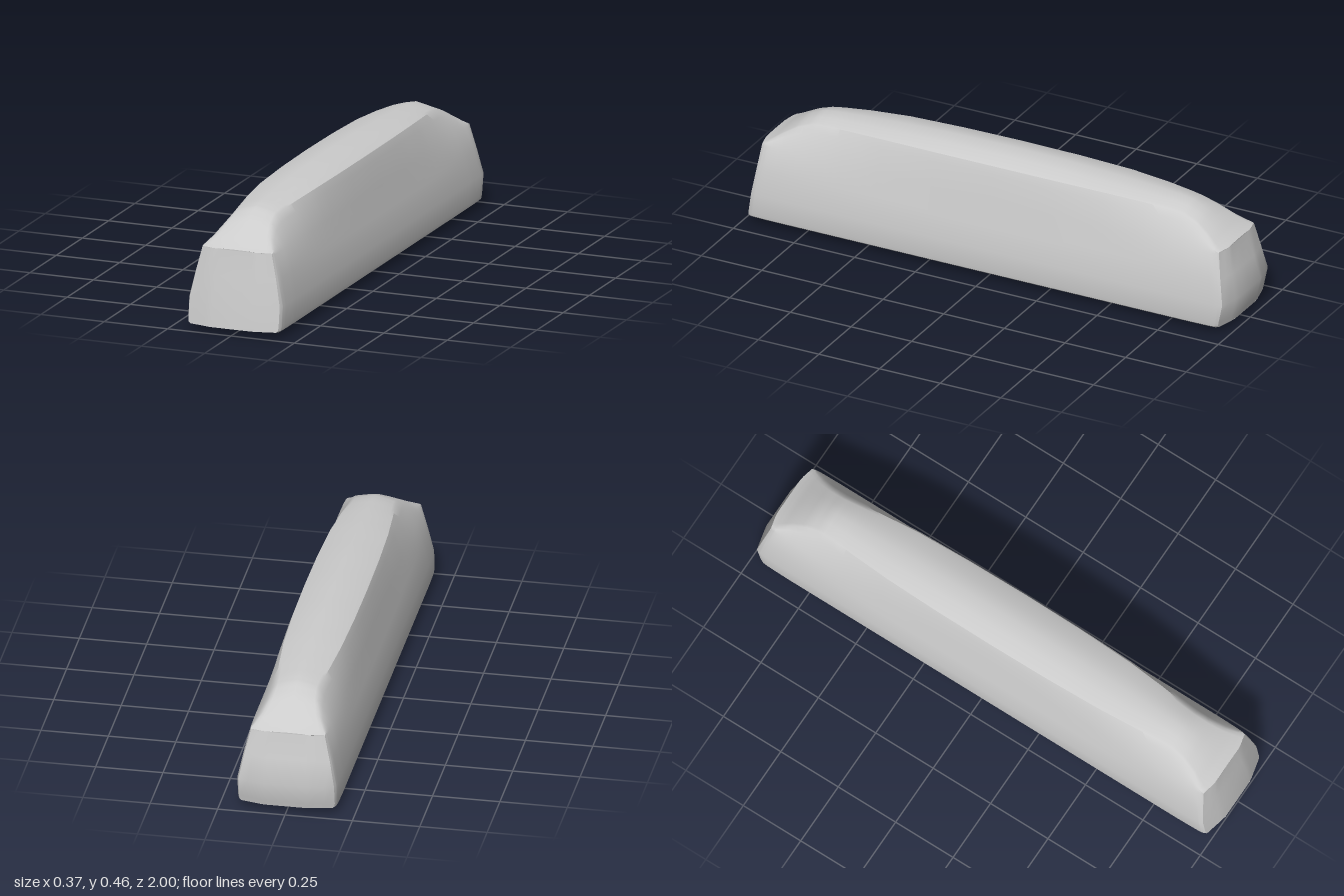
import * as THREE from 'three';
import { toCreasedNormals } from 'three/addons/utils/BufferGeometryUtils.js';

// Piecewise linear lookup through [key, value, ...] rows
function lookup(rows, t, column = 1) {
  if (t <= rows[0][0]) return rows[0][column];
  for (let i = 1; i < rows.length; i++) {
    if (t <= rows[i][0]) {
      const f = (t - rows[i - 1][0]) / (rows[i][0] - rows[i - 1][0]);
      return THREE.MathUtils.lerp(rows[i - 1][column], rows[i][column], f);
    }
  }
  return rows[rows.length - 1][column];
}

// Surface through a grid of points: rows of equal length
function gridGeometry(grid) {
  const cols = grid[0].length;
  const index = [];
  for (let i = 0; i < grid.length - 1; i++) {
    for (let j = 0; j < cols - 1; j++) {
      const a = i * cols + j, b = a + 1, c = b + cols, d = a + cols;
      index.push(a, b, c, a, c, d);
    }
  }
  const geometry = new THREE.BufferGeometry().setFromPoints(grid.flat());
  geometry.setIndex(index);
  return toCreasedNormals(geometry, 0.6);
}

// End rake: height, distance from the centre
const frontEnd = [[0.025, 1], [0.12, 0.987], [0.31, 0.953]];
const backEnd = [[0.025, 0.98], [0.12, 1], [0.31, 0.955]];

// Along the length: position, shoulder x, shoulder y, ridge y, underside lift, width scale
const stations = [
  [0, 0.116, 0.431, 0.464, 0, 1],
  [0.25, 0.114, 0.43, 0.461, 0, 1],
  [0.48, 0.107, 0.427, 0.452, 0, 1],
  [0.64, 0.095, 0.42, 0.443, 0.008, 1],
  [0.75, 0.084, 0.412, 0.435, 0.013, 1],
  [0.8, 0.081, 0.405, 0.427, 0.015, 1],
  [0.86, 0.087, 0.384, 0.401, 0.018, 1],
  [0.92, 0.104, 0.351, 0.363, 0.021, 0.995],
  [0.96, 0.122, 0.328, 0.336, 0.023, 0.99],
  [0.985, 0.134, 0.316, 0.322, 0.024, 0.98],
  [1, 0.139, 0.311, 0.314, 0.025, 0.95],
];

// Half cross-section from the keel up to the ridge
function halfProfile(u) {
  const [sx, sy, ridge, lift, scale] = [1, 2, 3, 4, 5].map((c) => lookup(stations, Math.abs(u), c));
  const points = [
    [0, 0], [0.105, 0.007], [0.178, 0.024], [0.185, 0.03], [0.187, 0.045], [0.187, 0.12],
    [0.167, 0.215], [0.145, 0.305],
    [sx * 0.75 + 0.145 * 0.25 + 0.004, sy * 0.75 + 0.305 * 0.25],
    [sx, sy], [sx * 0.88, sy + (ridge - sy) * 0.2], [sx * 0.5, sy + (ridge - sy) * 0.62], [0, ridge],
  ];
  return points.map(([x, y]) => [x * scale, Math.max(y, lift)]);
}

// Place a profile point, with the ends bowed outward at the middle
function place(x, y, u) {
  const end = lookup(u < 0 ? backEnd : frontEnd, y);
  const bow = 0.022 * Math.abs(u) ** 12 * Math.max(0, Math.abs(x) / 0.187 - 0.45) * 2;
  return new THREE.Vector3(x, y, u * end - Math.sign(u) * bow);
}

export function createModel() {
  const group = new THREE.Group();
  const material = new THREE.MeshStandardMaterial({ color: 0xcccccc });
  const add = (name, geometry) => {
    const mesh = new THREE.Mesh(geometry, material);
    mesh.name = name;
    group.add(mesh);
  };

  // Long shell: full rings lofted from back to front
  const half = stations.map((s) => s[0]);
  const positions = [];
  for (let i = 0; i < half.length - 1; i++) {
    for (let k = 0; k < 3; k++) positions.push(THREE.MathUtils.lerp(half[i], half[i + 1], k / 3));
  }
  positions.push(1);
  const us = [...positions.slice(1).reverse().map((u) => -u), ...positions];
  add('shell', gridGeometry(us.map((u) => {
    const right = halfProfile(u);
    const left = right.slice(0, -1).reverse().map(([x, y]) => [-x, y]);
    return [...right, ...left].map(([x, y]) => place(x, y, u));
  })));

  // Raked end faces
  const columns = [-1, -0.8, -0.6, -0.45, 0, 0.45, 0.6, 0.8, 1];
  for (const [name, u] of [['frontFace', 1], ['backFace', -1]]) {
    add(name, gridGeometry(halfProfile(u).map(([x, y]) => columns.map((c) => place(c * u * x, y, u)))));
  }
  return group;
}
